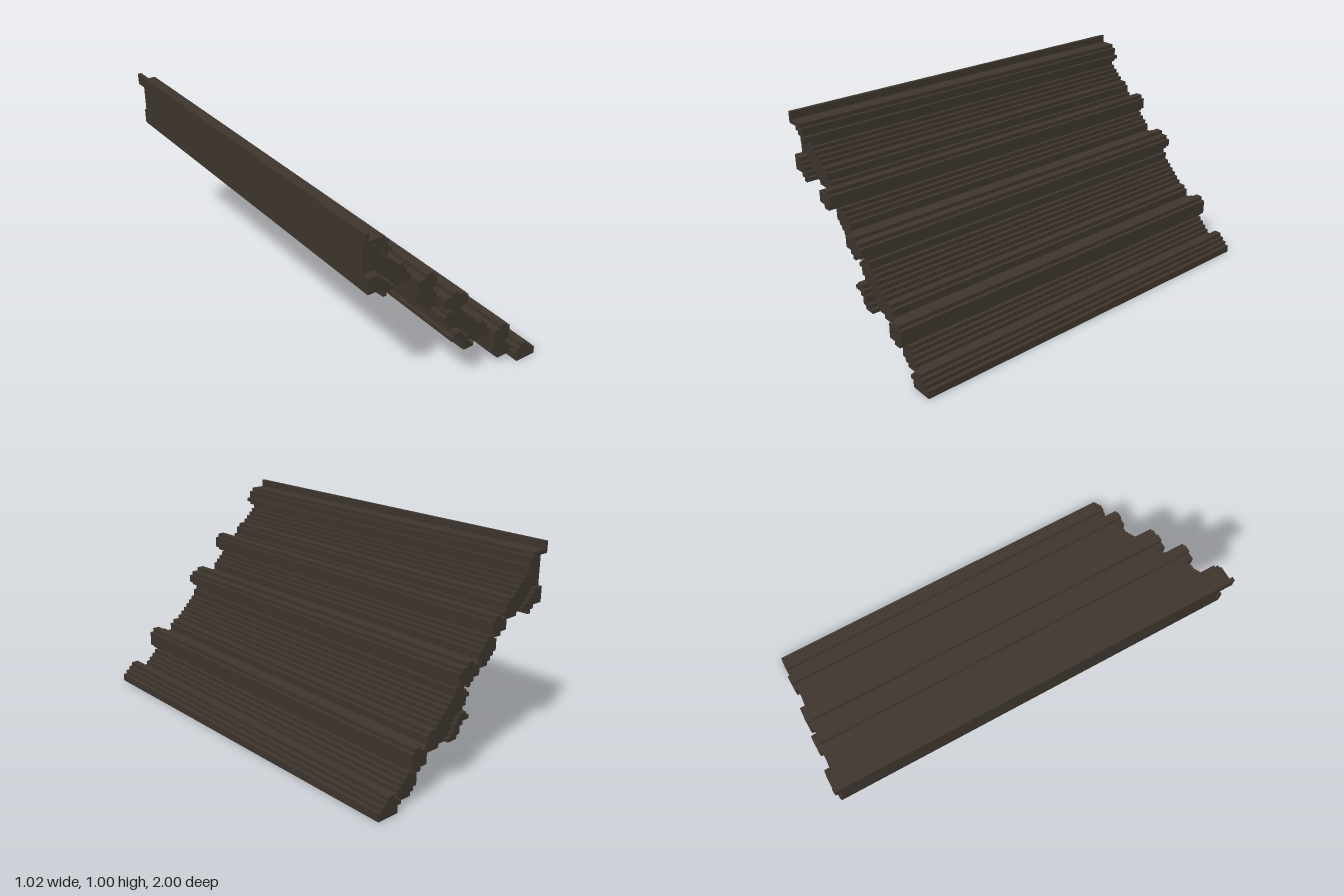
import * as THREE from 'three';

const U = 1 / 54; // step size of the blocky profile

// Lengthwise extents: panels are recessed, beams stand proud of them
const PANEL = [-0.981, 0.944];
const BEAM = [-1, 0.981];
const LONG = [-1, 1];

// Column of an edge at a given row: knots [row, column, ...] run downwards,
// straight between knots and snapped to whole steps
function columnAt(knots, row) {
  let k = 0;
  while (knots[k + 2] > row) k += 2;
  const [r0, c0, r1, c1] = knots.slice(k, k + 4);
  return Math.round(THREE.MathUtils.mapLinear(row, r0, r1, c0, c1));
}

// Staircase outline between a left and a right edge
function steppedShape(left, right) {
  const top = left[0], bottom = left[left.length - 2];
  const rightSide = [], leftSide = [];
  const step = (side, column, row) => {
    const x = (column - 27.5) * U;
    const last = side[side.length - 1];
    // lengthen a straight run instead of adding a corner to it
    if (last && last.x === x) side.pop();
    else side.push(new THREE.Vector2(x, (row + 1) * U));
    side.push(new THREE.Vector2(x, row * U));
  };
  for (let row = top; row >= bottom; row--) {
    step(rightSide, columnAt(right, row), row);
    step(leftSide, columnAt(left, row), row);
  }
  return new THREE.Shape([...rightSide, ...leftSide.reverse()]);
}

export function createModel() {
  const group = new THREE.Group();
  group.name = 'steppedRoofSlope';
  const darkWood = new THREE.MeshStandardMaterial({ color: 0x3d352d });
  darkWood.name = 'darkWood';

  const addPart = (name, [back, front], left, right) => {
    const geometry = new THREE.ExtrudeGeometry(steppedShape(left, right), {
      depth: front - back, bevelEnabled: false,
    });
    geometry.translate(0, 0, back);
    const mesh = new THREE.Mesh(geometry, darkWood);
    mesh.name = name;
    group.add(mesh);
  };

  // Small rounded beam with a narrower top and bottom row
  const addBatten = (name, extent, top, bottom, c) => addPart(name, extent,
    [top, c + 2, top - 1, c, bottom + 1, c, bottom, c + 2],
    [top, c + 4, top - 1, c + 5, bottom + 1, c + 5, bottom, c + 4]);

  // Short slanted panel below a batten
  const addShortPanel = (name, top, bottom, c) => addPart(name, PANEL,
    [top, c + 1, top - 1, c, top - 3, c, bottom, c + top - 3 - bottom],
    [top, c + 3, top - 2, c + 5, bottom + 1, c + 7, bottom, c + 6]);

  // Top of the slope
  addPart('ridgeCap', BEAM,
    [53, 0, 51, 0, 50, 3, 48, 5, 47, 5],
    [53, 1, 52, 1, 51, 5, 48, 7, 47, 6]);
  addPart('upperPanel', PANEL,
    [50, 1, 43, 1, 42, 4, 37, 9],
    [50, 3, 48, 5, 47, 5, 42, 10, 41, 12, 37, 14]);
  addPart('upperUnderBeam', BEAM,
    [42, 1, 39, 1, 38, 4, 37, 5],
    [42, 4, 38, 8, 37, 6]);

  // Upper batten down to the middle batten
  addBatten('upperBatten', LONG, 38, 34, 14);
  addShortPanel('upperShortPanel', 33, 27, 16);
  addPart('middleBatten', BEAM,
    [29, 25, 28, 23, 26, 23, 25, 25, 24, 26],
    [29, 27, 27, 30, 26, 30, 25, 29, 24, 27]);

  // Long lower stretch with its supporting beam
  addPart('lowerPanel', PANEL,
    [24, 27, 22, 26, 21, 25, 18, 27, 12, 33, 11, 35],
    [24, 29, 23, 30, 22, 30, 16, 36, 15, 38, 12, 40, 11, 40]);
  addPart('lowerUnderBeam', BEAM,
    [17, 27, 16, 26, 14, 29, 13, 29, 12, 30],
    [17, 29, 12, 33]);

  // Lower batten down to the eave
  addBatten('lowerBatten', BEAM, 13, 8, 40);
  addShortPanel('lowerShortPanel', 7, 2, 42);
  addPart('eaveBatten', BEAM,
    [4, 50, 2, 48, 1, 49, 0, 49],
    [4, 52, 1, 55, 0, 55]);

  return group;
}
